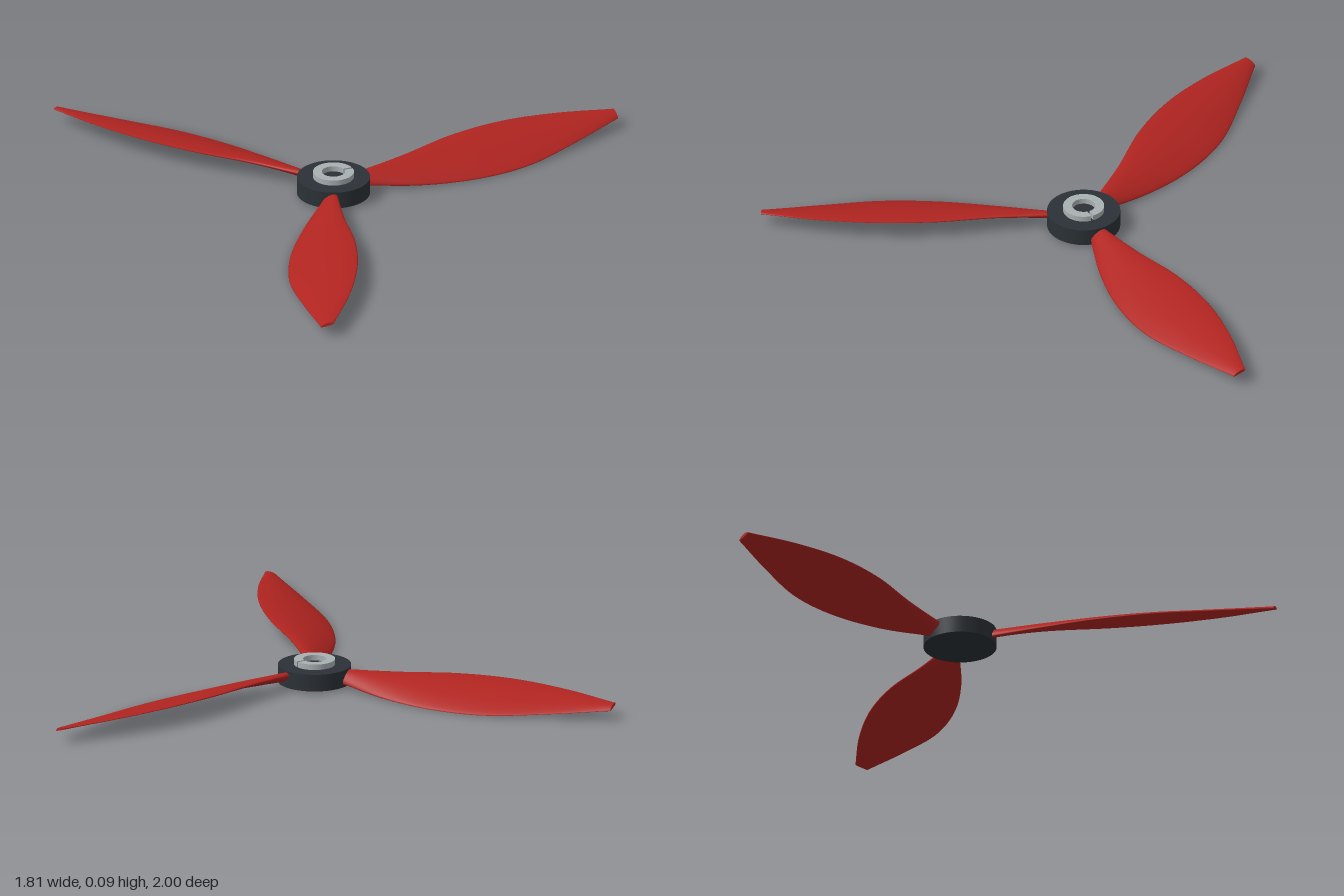
import * as THREE from 'three';

const material = (color) => new THREE.MeshStandardMaterial({ color });
const spline = (points) =>
  new THREE.CatmullRomCurve3(points.map((p) => new THREE.Vector3(...p)), false, 'catmullrom', 0.5);

// Blade edges from root to tip: radius, height, sideways offset
const leadingEdge = spline([
  [0.10, 0.058, -0.022], [0.308, 0.068, -0.068], [0.516, 0.076, -0.128],
  [0.724, 0.077, -0.155], [0.932, 0.07, -0.146], [1.14, 0.059, -0.110],
]);
const trailingEdge = spline([
  [0.10, 0.032, 0.022], [0.308, 0.013, 0.078], [0.516, 0.006, 0.104],
  [0.724, 0.009, 0.087], [0.932, 0.024, 0.018], [1.14, 0.043, -0.065],
]);

// Cambered lens sections lofted between the two edges, closed at the tip
function bladeGeometry(spans = 48, around = 28) {
  const positions = [];
  const index = [];
  const up = new THREE.Vector3(0, 1, 0);
  for (let i = 0; i <= spans; i++) {
    const t = i / spans;
    const lead = leadingEdge.getPoint(t);
    const trail = trailingEdge.getPoint(t);
    const camber = 0.003 + 0.009 * Math.sin(Math.PI * t);
    const thickness = THREE.MathUtils.lerp(0.016, 0.006, Math.min(1, t * 1.4));
    for (let j = 0; j < around; j++) {
      const a = (j / around) * Math.PI * 2;
      const c = Math.cos(a);
      const p = lead.clone().lerp(trail, (1 + c) / 2);
      p.addScaledVector(up, camber * (1 - c * c) + thickness * Math.sin(a));
      positions.push(p.x, p.y, p.z);
    }
  }
  for (let i = 0; i < spans; i++) {
    for (let j = 0; j < around; j++) {
      const a = i * around + j;
      const b = i * around + (j + 1) % around;
      index.push(a, a + around, b, b, a + around, b + around);
    }
  }
  // Flat tip, with its own corners to keep the rim crisp
  const cap = positions.length / 3;
  positions.push(...positions.slice(-around * 3));
  for (let j = 1; j < around - 1; j++) index.push(cap, cap + j + 1, cap + j);

  const geometry = new THREE.BufferGeometry();
  geometry.setAttribute('position', new THREE.Float32BufferAttribute(positions, 3));
  geometry.setIndex(index);
  geometry.computeVertexNormals();
  return geometry;
}

// Flat ring with a narrow slot on the +x side
function slottedRingGeometry(outer, inner, height, slot) {
  const shape = new THREE.Shape();
  shape.absarc(0, 0, outer, slot / outer, Math.PI * 2 - slot / outer, false);
  shape.absarc(0, 0, inner, Math.PI * 2 - slot / inner, slot / inner, true);
  const geometry = new THREE.ExtrudeGeometry(shape, {
    depth: height, bevelEnabled: false, curveSegments: 40,
  });
  return geometry.rotateX(-Math.PI / 2);
}

export function createModel() {
  const propeller = new THREE.Group();
  propeller.name = 'propeller';
  propeller.position.set(-0.24, 0, -0.045);

  const add = (name, geometry, mat) => {
    const mesh = new THREE.Mesh(geometry, mat);
    mesh.name = name;
    propeller.add(mesh);
    return mesh;
  };

  // Hub disc
  const hub = new THREE.CylinderGeometry(0.13, 0.13, 0.062, 64);
  add('hub', hub, material(0x2b3136)).position.y = 0.044;

  // Retaining ring on top of the hub
  const ring = slottedRingGeometry(0.073, 0.041, 0.022, 0.004);
  add('retainingRing', ring, material(0xa9b0b2)).position.y = 0.073;

  // Three blades
  const blade = bladeGeometry();
  const red = material(0xb02420);
  for (let i = 0; i < 3; i++) {
    add('blade' + (i + 1), blade, red).rotation.y = (i * Math.PI * 2) / 3;
  }

  const model = new THREE.Group();
  model.name = 'propellerModel';
  model.add(propeller);
  return model;
}
